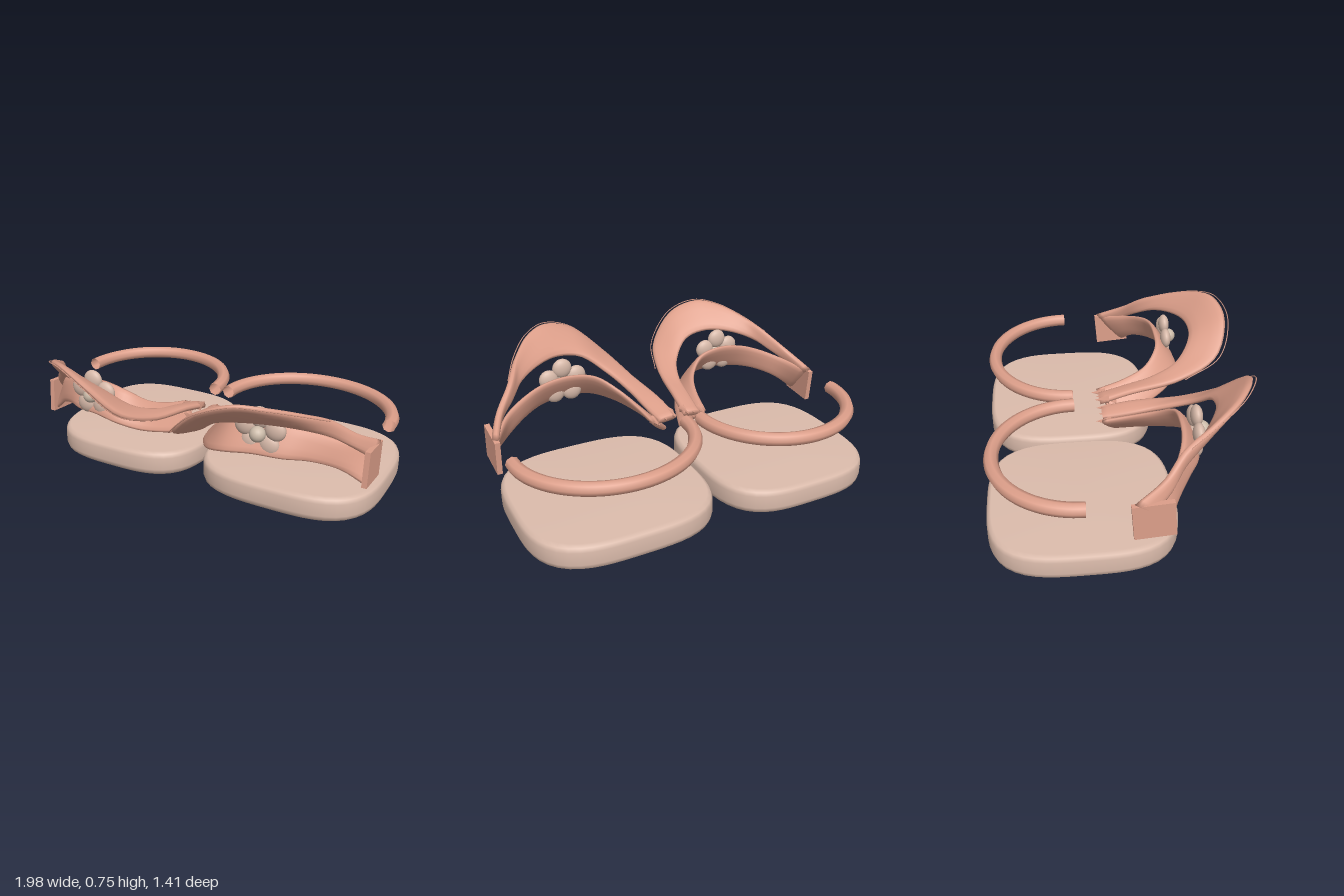
import * as THREE from 'three';
import { mergeVertices } from 'three/addons/utils/BufferGeometryUtils.js';

const material = (name, color) => {
  const m = new THREE.MeshStandardMaterial({ color, side: THREE.DoubleSide });
  m.name = name;
  return m;
};

// Strap edges of the left shoe as [x, y, z], from the outer side to the inner side
const RIM = [[.97, .42, 0], [.9, .5, .15], [.8, .6, .27], [.72, .665, .42], [.6, .725, .57], [.47, .745, .65],
  [.3, .685, .685], [.13, .53, .61], [.05, .44, .4], [0, .4, .1], [-.02, .36, -.07]];
const UPPER_HEM = [[.96, .36, .1], [.9, .43, .18], [.82, .49, .24], [.73, .55, .33], [.6, .59, .42], [.46, .6, .48],
  [.31, .57, .48], [.19, .48, .39], [.13, .42, .24], [.11, .38, .08], [.09, .35, -.07]];
const LOWER_TOP = [[.96, .41, .02], [.85, .46, .18], [.72, .51, .25], [.6, .54, .285], [.45, .55, .295],
  [.31, .52, .285], [.21, .45, .21], [.16, .4, .08], [.13, .36, -.08]];
const LOWER_HEM = [[.965, .24, .17], [.85, .32, .22], [.72, .37, .3], [.6, .385, .37], [.45, .39, .4],
  [.3, .37, .41], [.18, .33, .35], [.07, .28, .2], [0, .24, .02]];

// Solid band spanning two edge curves, with a rounded flat cross-section
function bandGeometry(edgeA, edgeB, thickness) {
  const curves = [edgeA, edgeB].map((p) => new THREE.CatmullRomCurve3(p));
  const steps = 48, sides = 14, pos = [], index = [];
  const round = (v, e) => Math.sign(v) * Math.abs(v) ** e;
  for (let i = 0; i <= steps; i++) {
    const t = i / steps;
    const [a, b] = curves.map((c) => c.getPoint(t));
    const mid = a.clone().add(b).multiplyScalar(.5);
    const half = b.clone().sub(a).multiplyScalar(.5);
    const tangent = curves[0].getTangent(t).add(curves[1].getTangent(t));
    const normal = tangent.cross(half).normalize().multiplyScalar(thickness / 2);
    for (let j = 0; j < sides; j++) {
      const q = (j / sides) * Math.PI * 2;
      const p = mid.clone().addScaledVector(half, round(Math.cos(q), .8))
        .addScaledVector(normal, round(Math.sin(q), .7));
      pos.push(p.x, p.y, p.z);
      if (i < steps) {
        const k = i * sides + j, n = i * sides + (j + 1) % sides;
        index.push(k, n, k + sides, n, n + sides, k + sides);
      }
    }
  }
  // End caps
  for (let j = 1; j < sides - 1; j++) {
    const e = steps * sides;
    index.push(0, j + 1, j, e, e + j, e + j + 1);
  }
  const g = new THREE.BufferGeometry();
  g.setAttribute('position', new THREE.Float32BufferAttribute(pos, 3));
  g.setIndex(index);
  g.computeVertexNormals();
  return g;
}

// Rounded-square cushion sole with softened edges
function soleGeometry(halfX, halfZ) {
  const profile = [[0, 0], [.95, 0], [.985, .015], [1, .04], [1, .11], [.985, .132], [.95, .145], [0, .147]];
  const g = new THREE.LatheGeometry(profile.map(([r, y]) => new THREE.Vector2(r, y)), 64);
  const p = g.attributes.position;
  for (let i = 0; i < p.count; i++) {
    const x = p.getX(i), z = p.getZ(i), r = Math.hypot(x, z);
    if (r < 1e-6) continue;
    const n = 3.3;
    const s = (Math.abs(x / r) ** n + Math.abs(z / r) ** n) ** (-1 / n);
    p.setX(i, x * s * halfX);
    p.setZ(i, z * s * halfZ);
  }
  g.deleteAttribute('normal');
  g.deleteAttribute('uv');
  const merged = mergeVertices(g, 1e-4);
  merged.computeVertexNormals();
  return merged;
}

function createShoe(side, mats) {
  const shoe = new THREE.Group();
  shoe.name = side > 0 ? 'leftSandal' : 'rightSandal';
  const add = (name, geometry, mat, x = 0, y = 0, z = 0) => {
    const m = new THREE.Mesh(geometry, mat);
    m.name = name;
    m.position.set(x, y, z);
    shoe.add(m);
    return m;
  };
  // The right shoe is mirrored and a little narrower
  const mapX = (x) => (side > 0 ? x : -(.0825 + .916 * x));
  const mapZ = (z) => (side > 0 ? z : z * .96);
  const place = (pts) => pts.map(([x, y, z]) => new THREE.Vector3(mapX(x), y, mapZ(z)));
  const centre = mapX(.478);
  const halfX = side > 0 ? .508 : .465;

  add('sole', soleGeometry(halfX, .482), mats.sole, centre, 0, -.218);

  // Heel strap: half ring behind the foot
  const arc = [];
  for (let i = 0; i <= 24; i++) {
    const a = (i / 24) * Math.PI;
    arc.push(new THREE.Vector3(centre + Math.cos(a) * (halfX - .032), .4, -.22 - Math.sin(a) * .435));
  }
  add('heelStrap', new THREE.TubeGeometry(new THREE.CatmullRomCurve3(arc), 48, .037, 8), mats.strap);

  // Front straps: flared upper band and sloping lower band
  add('upperStrap', bandGeometry(place(RIM), place(UPPER_HEM), .04), mats.strap);
  add('lowerStrap', bandGeometry(place(LOWER_TOP), place(LOWER_HEM), .035), mats.strap);

  // Fine piping just outside the rim
  const piping = RIM.slice(2, 9).map(([x, y, z]) => [x + (x - .45) * .015, y, z + .018]);
  add('piping', new THREE.TubeGeometry(new THREE.CatmullRomCurve3(place(piping)), 40, .003, 4), mats.strap);

  // Outer side tab
  const tab = add('sideTab', new THREE.BoxGeometry(.028, .19, .2), mats.strap, mapX(.968), .325, .09);
  tab.rotation.x = -.08;

  // Frayed inner end
  for (const [x, y, z] of [[.11, .35, -.07], [.05, .36, -.05], [.0, .37, -.06], [.07, .31, -.01]]) {
    const c = add('strapFray', new THREE.ConeGeometry(.025, .08, 5), mats.strap, mapX(x), y, mapZ(z));
    c.rotation.x = -Math.PI / 2;
  }

  // Five-petal flower
  for (let i = 0; i < 5; i++) {
    const a = Math.PI / 2 + (i / 5) * Math.PI * 2;
    const petal = add('flowerPetal', new THREE.SphereGeometry(.056, 20, 14), mats.petal,
      centre + Math.cos(a) * .085, .5 + Math.sin(a) * .078, .36);
    petal.scale.z = .55;
  }
  add('flowerCentre', new THREE.SphereGeometry(.041, 20, 14), mats.flowerCentre, centre, .5, .39);
  return shoe;
}

export function createModel() {
  const mats = {
    sole: material('soleBeige', 0xdcbcac),
    strap: material('strapCoral', 0xdd9f8a),
    petal: material('petalBeige', 0xd6b8a8),
    flowerCentre: material('flowerCentreCream', 0xcdbcaa),
  };
  const model = new THREE.Group();
  model.name = 'sandals';
  model.add(createShoe(1, mats), createShoe(-1, mats));
  return model;
}
